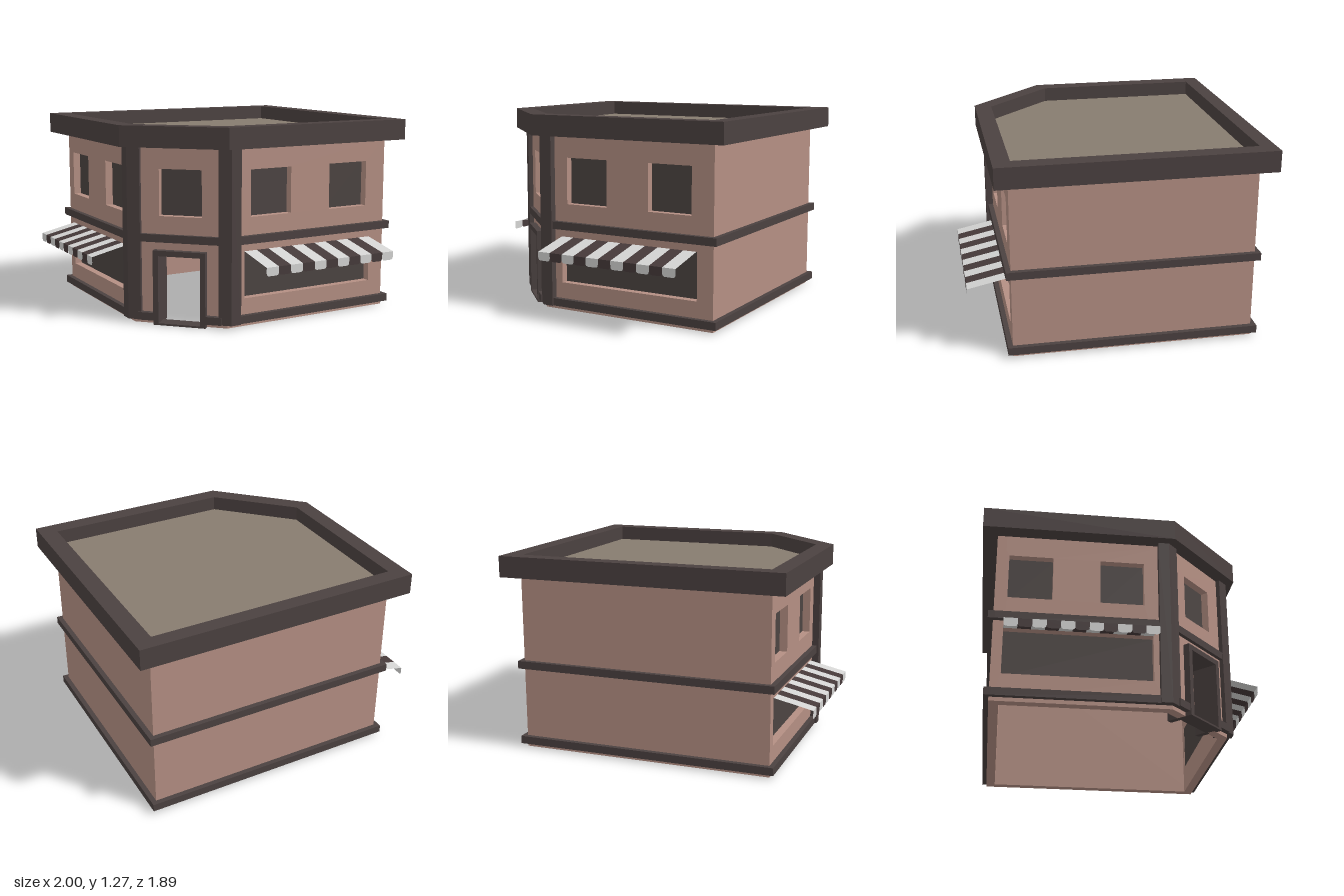
import * as THREE from 'three';

const mat = (name, color, side = THREE.FrontSide) => {
  const m = new THREE.MeshStandardMaterial({ color, side });
  m.name = name;
  return m;
};

export function createModel() {
  const pink = mat('wall plaster', 0xb48f83);
  const trim = mat('dark trim', 0x4b4140);
  const deck = mat('roof deck', 0x877c6f);
  const glass = mat('window glass', 0x4c4442);
  const light = mat('awning light', 0xd4d4d3, THREE.DoubleSide);
  const dark = mat('awning dark', 0x463a3a, THREE.DoubleSide);

  const model = new THREE.Group();
  model.name = 'cornerShop';
  const add = (parent, name, geo, material) => {
    const m = new THREE.Mesh(geo, material);
    m.name = name;
    parent.add(m);
    return m;
  };
  // Box given by its limits
  const box = (parent, name, material, x0, x1, y0, y1, z0, z1) => add(parent, name,
    new THREE.BoxGeometry(x1 - x0, y1 - y0, z1 - z0)
      .translate((x0 + x1) / 2, (y0 + y1) / 2, (z0 + z1) / 2), material);

  // Floor plan: a rectangle with its front -x corner cut along z - x = c
  const plan = (right, back, left, front, c) =>
    [[front - c, front], [right, front], [right, back], [left, back], [left, left + c]];
  const toVec = pts => pts.map(([x, z]) => new THREE.Vector2(x, -z));
  const slab = (pts, y0, y1, hole) => {
    const s = new THREE.Shape(toVec(pts));
    if (hole) s.holes.push(new THREE.Path(toVec(hole)));
    return new THREE.ExtrudeGeometry(s, { depth: y1 - y0, bevelEnabled: false })
      .rotateX(-Math.PI / 2).translate(0, y0, 0);
  };

  // Roof: parapet ring and deck
  const inner = plan(0.885, -0.85, -0.75, 0.665, 0.98);
  add(model, 'parapet', slab(plan(1, -0.95, -0.86, 0.775, 1.135), 1.14, 1.275, inner), trim);
  add(model, 'roofDeck', slab(inner, 1.14, 1.18), deck);

  // Striped awning hung on a wall, from u0 to u1, reaching out by reach
  const awning = (parent, u0, u1, reach) => {
    const g = new THREE.Group();
    g.name = 'awning';
    parent.add(g);
    const n = 11, w = (u1 - u0) / n, drop = 0.055, r = 0.02;
    for (let i = 0; i < n; i++) {
      const m = i % 2 ? dark : light, u = u0 + i * w;
      add(g, 'awningStripe', new THREE.PlaneGeometry(w, Math.hypot(reach, drop))
        .rotateX(-Math.atan2(reach, drop))
        .translate(u + w / 2, 0.485 - drop / 2, reach / 2), m);
      const s = new THREE.Shape();
      s.moveTo(0, 0);
      s.lineTo(0, -0.055 + r);
      s.quadraticCurveTo(0, -0.055, r, -0.055);
      s.lineTo(w - r, -0.055);
      s.quadraticCurveTo(w, -0.055, w, -0.055 + r);
      s.lineTo(w, 0);
      add(g, 'awningValance', new THREE.ShapeGeometry(s, 4).translate(u, 0.43, reach), m);
    }
  };

  // Walls: windows are [u0, u1, y0, y1] along each wall; the entrance has a doorway
  const thick = 0.06, doorMid = 0.31;
  const corners = plan(0.9, -0.855, -0.755, 0.685, 1.005);
  const walls = [
    { name: 'frontWall', windows: [[0.17, 0.47, 0.7, 1], [0.77, 1.07, 0.7, 1], [0.125, 1.11, 0.18, 0.485]],
      awning: [0.125, 1.105, 0.26] },
    { name: 'rightWall', windows: [] },
    { name: 'backWall', windows: [] },
    { name: 'leftWall', windows: [[0.08, 0.36, 0.7, 1], [0.66, 0.94, 0.7, 1], [0.065, 0.995, 0.18, 0.485]],
      awning: [0.065, 0.995, 0.245] },
    { name: 'entranceWall', windows: [[doorMid - 0.14, doorMid + 0.14, 0.7, 1]], door: true },
  ];
  walls.forEach((wall, i) => {
    const [px, pz] = corners[i], [qx, qz] = corners[(i + 1) % 5];
    const len = Math.hypot(qx - px, qz - pz);
    const g = new THREE.Group();
    g.name = wall.name;
    g.position.set(px, 0, pz);
    g.rotation.y = Math.atan2(pz - qz, qx - px);
    model.add(g);

    const notch = wall.door
      ? [[doorMid - 0.15, 0], [doorMid - 0.15, 0.465], [doorMid + 0.15, 0.465], [doorMid + 0.15, 0]] : [];
    const s = new THREE.Shape([[0, 0], ...notch, [len, 0], [len, 1.15], [0, 1.15]]
      .map(p => new THREE.Vector2(...p)));
    for (const [a, b, c, d] of wall.windows) {
      s.holes.push(new THREE.Path([[a, c], [a, d], [b, d], [b, c]].map(p => new THREE.Vector2(...p))));
      box(g, 'windowGlass', glass, a, b, c, d, -0.057, -0.05);
    }
    add(g, 'wallPanel', new THREE.ExtrudeGeometry(s, { depth: thick, bevelEnabled: false })
      .translate(0, 0, -thick), pink);
    if (wall.awning) awning(g, ...wall.awning);

    // Horizontal trim bands
    if (wall.door) {
      box(g, 'upperBand', trim, 0, len, 0.535, 0.585, -0.01, 0.025);
      box(g, 'lowerBand', trim, 0.03, doorMid - 0.17, 0.025, 0.075, -0.01, 0.037);
      box(g, 'lowerBand', trim, doorMid + 0.17, len - 0.03, 0.025, 0.075, -0.01, 0.037);
      // Deep door frame
      for (const k of [-1, 1]) {
        const a = doorMid + k * 0.138, b = doorMid + k * 0.173;
        box(g, 'doorJamb', trim, Math.min(a, b), Math.max(a, b), 0, 0.485, -0.135, 0.042);
      }
      box(g, 'doorLintel', trim, doorMid - 0.138, doorMid + 0.138, 0.45, 0.485, -0.135, 0.042);
      box(g, 'doorThreshold', trim, doorMid - 0.138, doorMid + 0.138, 0, 0.012, -0.06, 0.042);
    } else {
      const start = i === 0 ? 0 : 0.032, end = i === 3 ? 0 : 0.032;
      for (const y of [0.025, 0.535])
        box(g, 'trimBand', trim, -start, len + end, y, y + 0.05, -0.01, 0.032);
    }
  });

  // Bent pillars where the entrance wall meets its neighbours, mirrored over the diagonal
  const pillar = [[-0.245, 0.61], [-0.245, 0.73], [-0.315, 0.73], [-0.375, 0.67], [-0.3, 0.595]];
  add(model, 'cornerPillar', slab(pillar, 0.025, 1.145), trim);
  add(model, 'cornerPillar', slab(pillar.map(([x, z]) => [-z - 0.07, -x - 0.07]), 0.025, 1.145), trim);

  return model;
}
